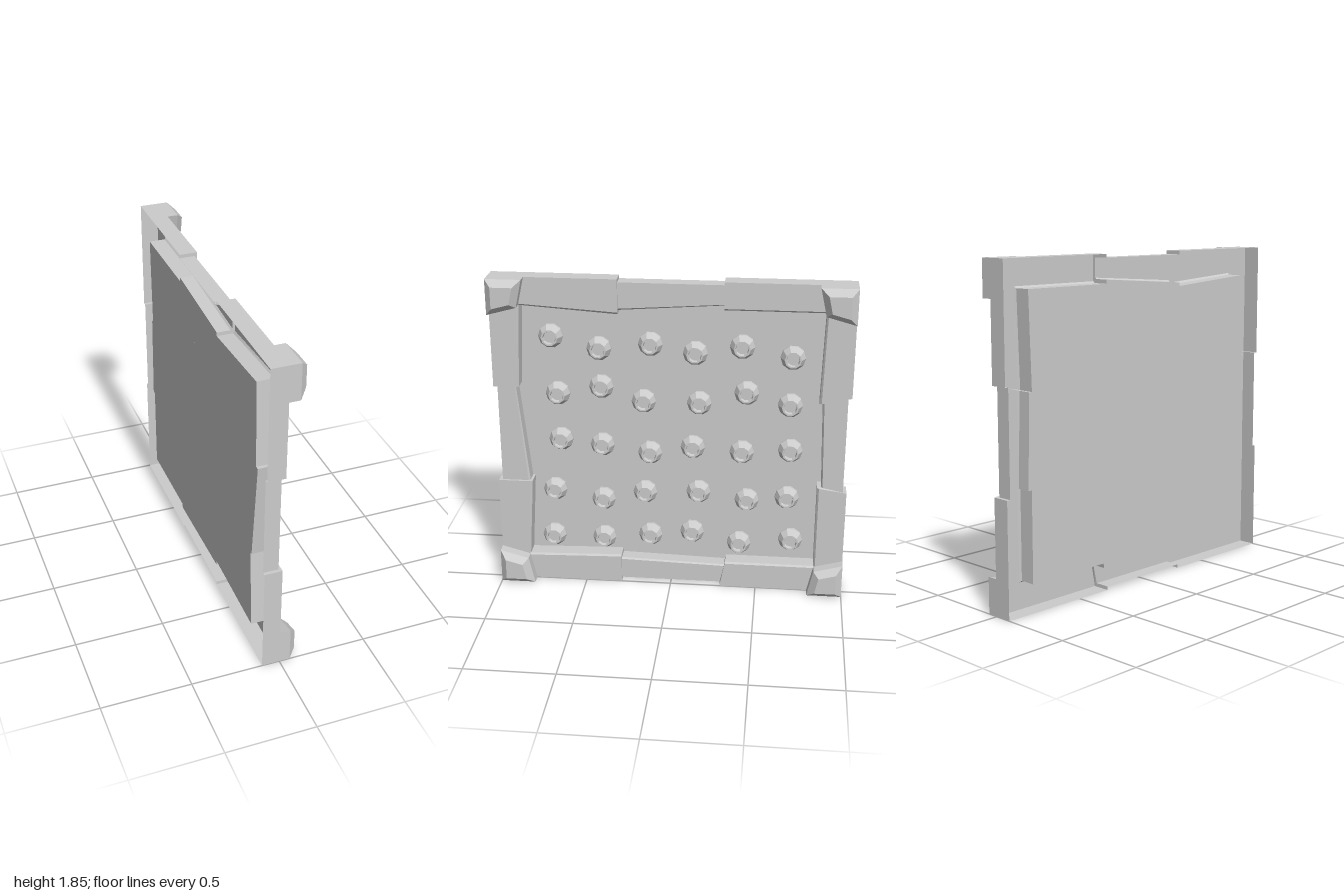
import * as THREE from 'three';

const material = new THREE.MeshStandardMaterial({ color: 0xcccccc, flatShading: true, side: THREE.DoubleSide });
const BACK = -0.1, LOW = 0.01, HIGH = 1.857;

// Closed skin through rows of [x, y, z] points; rows run clockwise seen from +x
function skin(rows) {
  const pos = [];
  rows.forEach((row, i) => {
    const next = rows[(i + 1) % rows.length];
    for (let k = 0; k < row.length - 1; k++) {
      const [a, b, c, d] = [row[k], next[k], next[k + 1], row[k + 1]];
      pos.push(...a, ...d, ...c, ...a, ...c, ...b);
    }
  });
  const geo = new THREE.BufferGeometry();
  geo.setAttribute('position', new THREE.Float32BufferAttribute(pos, 3));
  geo.computeVertexNormals();
  return geo;
}

// Frame stations: outer z, outer y, inner z, inner y, front x
const MID = -0.015;
const stations = [
  [1, HIGH, 0.834, 1.697, 0],
  [0.29, HIGH, 0.29, 1.66, 0], [0.29, 1.837, 0.29, 1.68, MID],
  [-0.29, 1.837, -0.29, 1.722, MID], [-0.29, HIGH, -0.29, 1.70, 0],
  [-1, HIGH, -0.84, 1.70, 0],
  [-1, 1.22, -0.824, 1.18, 0], [-0.98, 1.22, -0.842, 1.18, MID],
  [-0.98, 0.645, -0.857, 0.67, MID], [-1, 0.645, -0.834, 0.67, 0],
  [-1, LOW, -0.834, 0.168, 0],
  [-0.29, LOW, -0.32, 0.168, 0], [-0.29, 0.03, -0.315, 0.142, MID],
  [0.29, 0.03, 0.29, 0.158, MID], [0.29, LOW, 0.29, 0.184, 0],
  [1, LOW, 0.834, 0.168, 0],
  [1, 0.64, 0.803, 0.64, 0], [0.98, 0.64, 0.818, 0.64, MID],
  [0.98, 1.22, 0.877, 1.22, MID], [1, 1.22, 0.856, 1.22, 0],
];

// Stud centres, z and y, row by row
const studs = [
  [[0.68, 1.5], [0.41, 1.435], [0.12, 1.47], [-0.13, 1.425], [-0.39, 1.47], [-0.67, 1.415]],
  [[0.65, 1.16], [0.4, 1.21], [0.16, 1.13], [-0.155, 1.13], [-0.42, 1.2], [-0.665, 1.135]],
  [[0.64, 0.88], [0.4, 0.855], [0.125, 0.815], [-0.12, 0.86], [-0.4, 0.84], [-0.675, 0.86]],
  [[0.685, 0.56], [0.4, 0.51], [0.155, 0.565], [-0.155, 0.58], [-0.435, 0.54], [-0.665, 0.565]],
  [[0.7, 0.26], [0.4, 0.26], [0.125, 0.29], [-0.12, 0.32], [-0.395, 0.26], [-0.695, 0.295]],
];

export function createModel() {
  const model = new THREE.Group();
  const add = (geo, name, parent = model) => {
    const mesh = new THREE.Mesh(geo, material);
    mesh.name = name;
    parent.add(mesh);
    return mesh;
  };

  // Hollow frame, open at the back, with a small bevel on its inner edge
  add(skin(stations.map(([oz, oy, iz, iy, x]) => {
    const t = 0.06;
    return [
      [BACK, oy, oz], [x, oy, oz],
      [x, iy + (oy - iy) * t, iz + (oz - iz) * t],
      [x - 0.01, iy, iz], [BACK, iy, iz],
    ];
  })), 'frame');

  // Flat panel filling the frame opening
  add(skin(stations.map(([, , iz, iy]) => [[BACK, iy, iz], [BACK, 0.93, 0]])), 'panel');

  // Chamfered corner blocks, mirrored to all four corners
  const corner = [[1, HIGH], [0.8, HIGH], [0.835, 1.7], [1, 1.655]];
  for (const sz of [1, -1]) for (const top of [true, false]) {
    const pts = corner.map(([z, y]) => [z * sz, top ? y : HIGH + LOW - y]);
    if ((sz < 0) === top) pts.reverse();
    const cz = pts.reduce((s, p) => s + p[0], 0) / 4;
    const cy = pts.reduce((s, p) => s + p[1], 0) / 4;
    add(skin(pts.map(([z, y]) => [
      [0, y, z], [0.06, y, z],
      [0.1, cy + (y - cy) * 0.6, cz + (z - cz) * 0.6],
      [0.1, cy, cz],
    ])), 'cornerBlock');
  }

  // Tapered studs with a hollow top, turned to face +x
  const profile = [[0.07, 0], [0.07, 0.015], [0.047, 0.06], [0.038, 0.06], [0.034, 0.04], [0, 0.04]]
    .map(([r, h]) => new THREE.Vector2(r, h));
  const studGeo = new THREE.LatheGeometry(profile, 10).rotateZ(-Math.PI / 2);
  const studGroup = new THREE.Group();
  studGroup.name = 'studs';
  model.add(studGroup);
  for (const [z, y] of studs.flat()) add(studGeo, 'stud', studGroup).position.set(BACK, y, z);

  return model;
}
